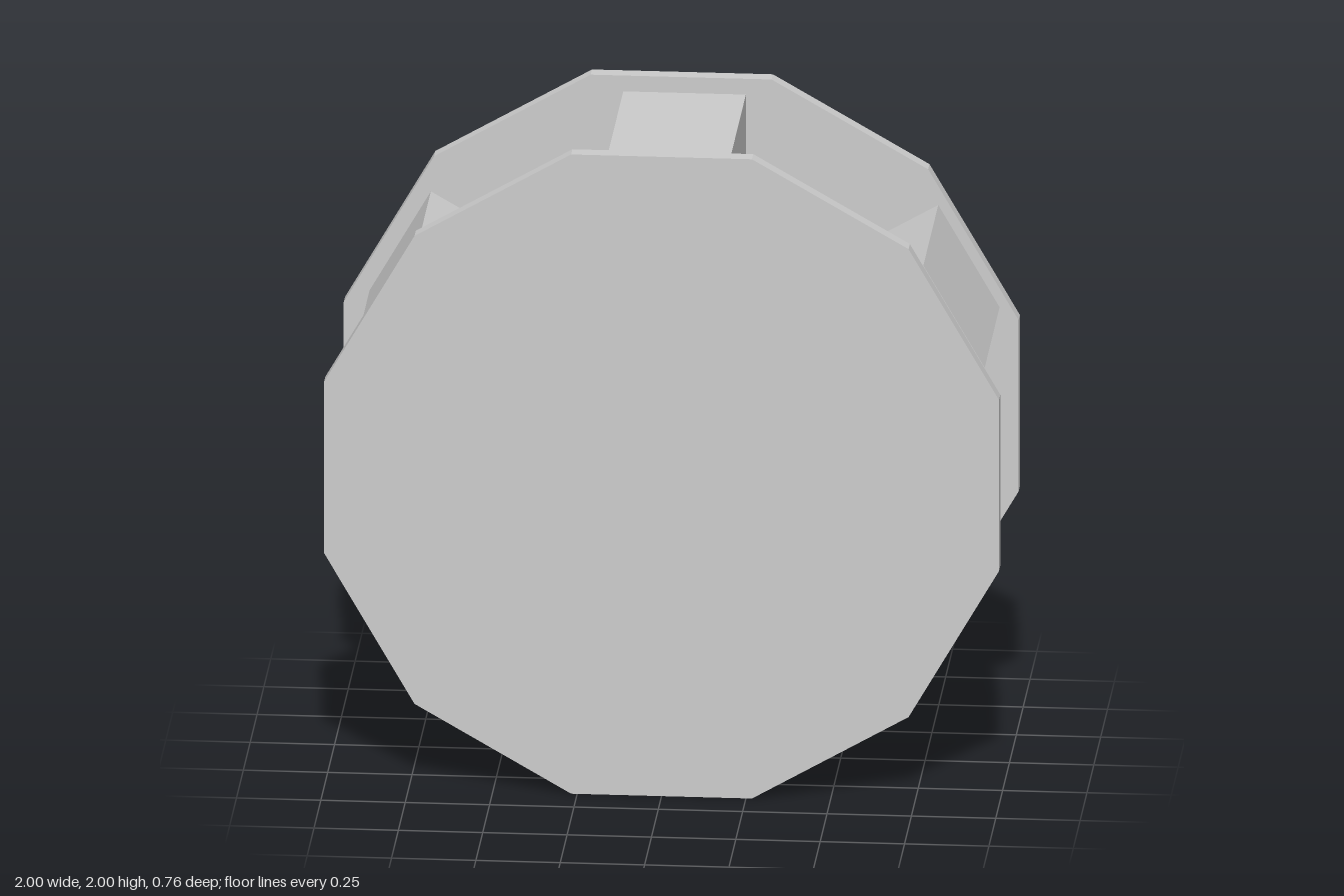
import * as THREE from 'three';

const material = new THREE.MeshStandardMaterial({ color: 0xcccccc, flatShading: true });

// Twelve-sided prism or cone along z, with flats at the top and bottom
function dodecagon(name, rFront, rBack, depth, x, y, z) {
  const geometry = new THREE.CylinderGeometry(rFront, rBack, depth, 12, 1, false, Math.PI / 12);
  geometry.rotateX(Math.PI / 2);
  const mesh = new THREE.Mesh(geometry, material);
  mesh.name = name;
  mesh.position.set(x, y, z);
  return mesh;
}

// Six square teeth standing on alternate sides of a twelve-sided hub
function gearShape(apothem, tip) {
  const half = apothem * Math.tan(Math.PI / 12);
  const points = [];
  for (let i = 0; i < 6; i++) {
    const a = Math.PI / 6 + (i * Math.PI) / 3;
    for (const [r, s] of [[apothem, -half], [tip, -half], [tip, half], [apothem, half]]) {
      points.push(new THREE.Vector2(
        r * Math.cos(a) - s * Math.sin(a),
        r * Math.sin(a) + s * Math.cos(a)
      ));
    }
  }
  return new THREE.Shape(points);
}

export function createModel() {
  const group = new THREE.Group();
  group.name = 'gearWheel';

  // Outer plates
  const plateRadius = 1 / Math.cos(Math.PI / 12);
  for (const [name, side] of [['frontPlate', 1], ['backPlate', -1]]) {
    group.add(dodecagon(name, plateRadius, plateRadius, 0.047, 0, 1, side * 0.3585));
  }

  // Toothed wheel, set slightly off centre between the plates
  const cx = 0.018, cy = 1.012, zBack = -0.237, zFront = 0.306;
  const gear = new THREE.Mesh(
    new THREE.ExtrudeGeometry(gearShape(0.678, 0.973), { depth: zFront - zBack, bevelEnabled: false }),
    material
  );
  gear.name = 'toothedWheel';
  gear.position.set(cx, cy, zBack);
  group.add(gear);

  // Very shallow raised hub faces
  group.add(dodecagon('frontHubFace', 0.2, 0.66, 0.006, cx, cy, zFront + 0.003));
  group.add(dodecagon('backHubFace', 0.66, 0.2, 0.006, cx, cy, zBack - 0.003));

  return group;
}
